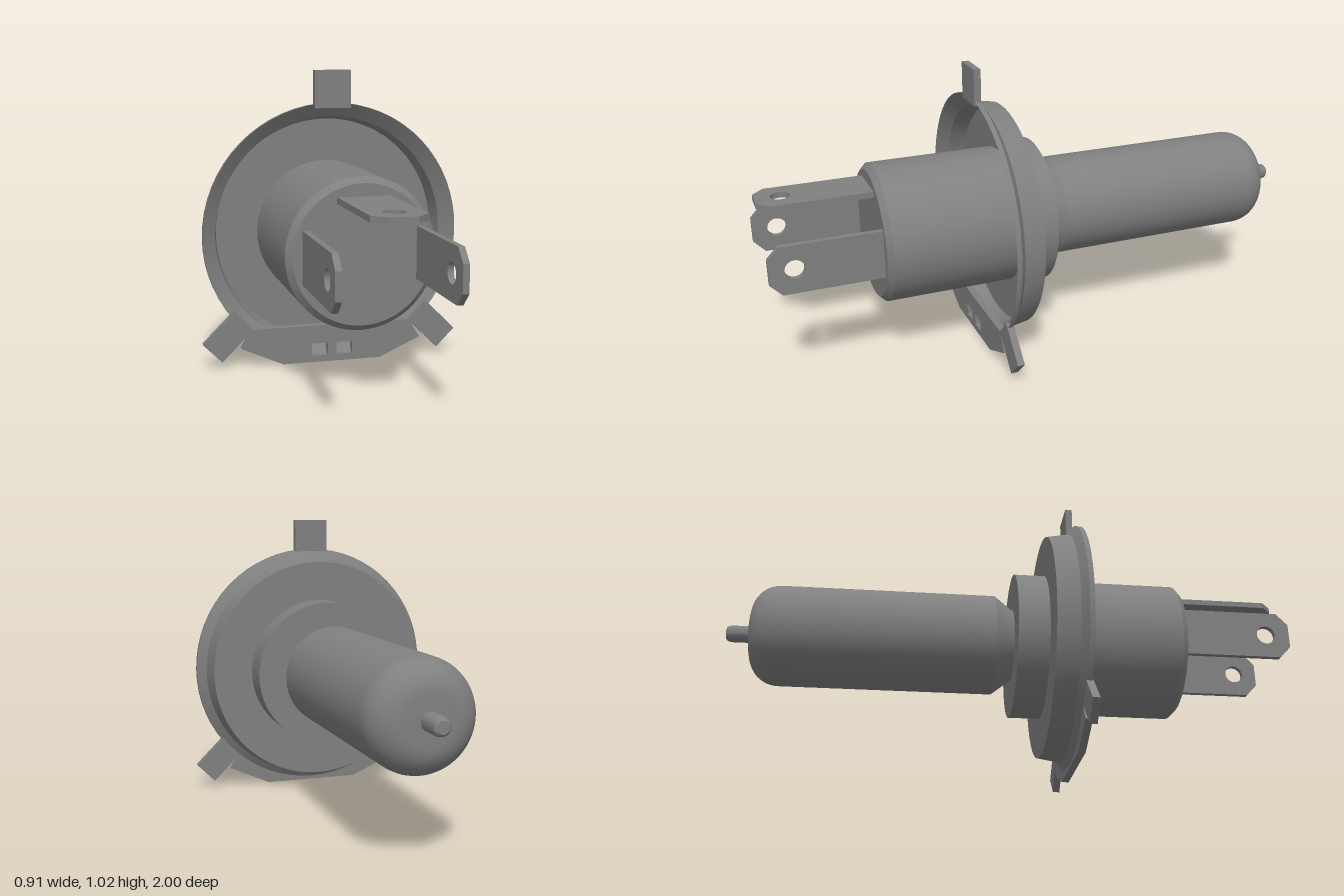
import * as THREE from 'three';
import { toCreasedNormals } from 'three/addons/utils/BufferGeometryUtils.js';

const AXIS_Y = 0.456;

export function createModel() {
  const model = new THREE.Group();
  model.name = 'headlightBulb';
  const grey = new THREE.MeshStandardMaterial({ color: 0x808080 });
  grey.name = 'grey';

  const add = (name, geometry) => {
    const mesh = new THREE.Mesh(geometry, grey);
    mesh.name = name;
    model.add(mesh);
    return mesh;
  };

  // Turned part: [radius, z] pairs, swept around the bulb axis
  const turned = (name, profile, segments = 64) => {
    const points = profile.map(([r, z]) => new THREE.Vector2(r, z));
    const geometry = new THREE.LatheGeometry(points, segments).rotateX(Math.PI / 2);
    add(name, toCreasedNormals(geometry, 0.5)).position.y = AXIS_Y;
  };

  // Flat part cut from sheet metal
  const sheet = (points, depth, holes = []) => {
    const shape = new THREE.Shape(points.map(([x, y]) => new THREE.Vector2(x, y)));
    shape.holes.push(...holes);
    return new THREE.ExtrudeGeometry(shape, { depth, bevelEnabled: false, curveSegments: 24 });
  };

  // Glass tube with tapered neck and rounded end
  const glass = [[0, -0.912]];
  for (let i = 0; i <= 10; i++) {
    const a = (i / 10) * Math.PI / 2;
    glass.push([0.08 + 0.1 * Math.sin(a), -0.812 - 0.1 * Math.cos(a)]);
  }
  glass.push([0.18, -0.05], [0.13, 0.015], [0.13, 0.03]);
  turned('glassTube', glass);

  // Sealing nipple on the glass
  turned('glassTip', [[0, -1], [0.02, -1], [0.027, -0.994], [0.03, -0.98], [0.03, -0.9]], 24);

  // Collar and hollow flange, open to the front
  turned('flange', [
    [0, 0.018], [0.262, 0.018], [0.262, 0.128], [0.405, 0.128], [0.418, 0.207],
    [0.45, 0.23], [0.45, 0.247], [0.402, 0.21], [0.39, 0.148], [0.2, 0.148],
  ]);

  // Connector body with chamfered front edge
  turned('connectorBody', [[0.245, 0.14], [0.245, 0.6], [0.225, 0.62], [0, 0.62]]);

  // Contact blades: width along x, length along y before turning towards the front
  const hole = new THREE.Path().absarc(0, 0.315, 0.033, 0, Math.PI * 2, true);
  const blade = sheet([
    [-0.085, 0], [0.085, 0], [0.085, 0.36], [0.043, 0.4], [-0.043, 0.4], [-0.085, 0.36],
  ], 0.02, [hole]).translate(0, 0, -0.01).rotateX(Math.PI / 2);
  add('topBlade', blade).position.set(0, 0.63, 0.6);
  for (const side of [-1, 1]) {
    const mesh = add(side > 0 ? 'leftBlade' : 'rightBlade', blade);
    mesh.position.set(side * 0.184, AXIS_Y, 0.6);
    mesh.rotation.z = Math.PI / 2;
  }

  // Locating tabs on the flange
  const tabDepth = 0.025, tabZ = 0.2375;
  add('topTab', new THREE.BoxGeometry(0.126, 0.128, tabDepth)).position.set(0, 0.952, tabZ);
  for (const side of [-1, 1]) {
    const tab = add(side > 0 ? 'leftTab' : 'rightTab', new THREE.BoxGeometry(0.153, 0.092, tabDepth));
    tab.position.set(side * 0.3675, 0.11, tabZ);
    tab.rotation.z = -side * Math.PI / 4;
  }

  // Bottom plate with two small windows
  const windows = [-0.0725, 0.0155].map((x) => new THREE.Path([
    [x, 0.024], [x, 0.067], [x + 0.057, 0.067], [x + 0.057, 0.024],
  ].map(([px, py]) => new THREE.Vector2(px, py))));
  const plate = sheet([
    [-0.175, 0], [0.175, 0], [0.322, 0.066], [0.284, 0.132], [-0.284, 0.132], [-0.322, 0.066],
  ], tabDepth, windows);
  add('bottomPlate', plate).position.z = 0.225;

  return model;
}
